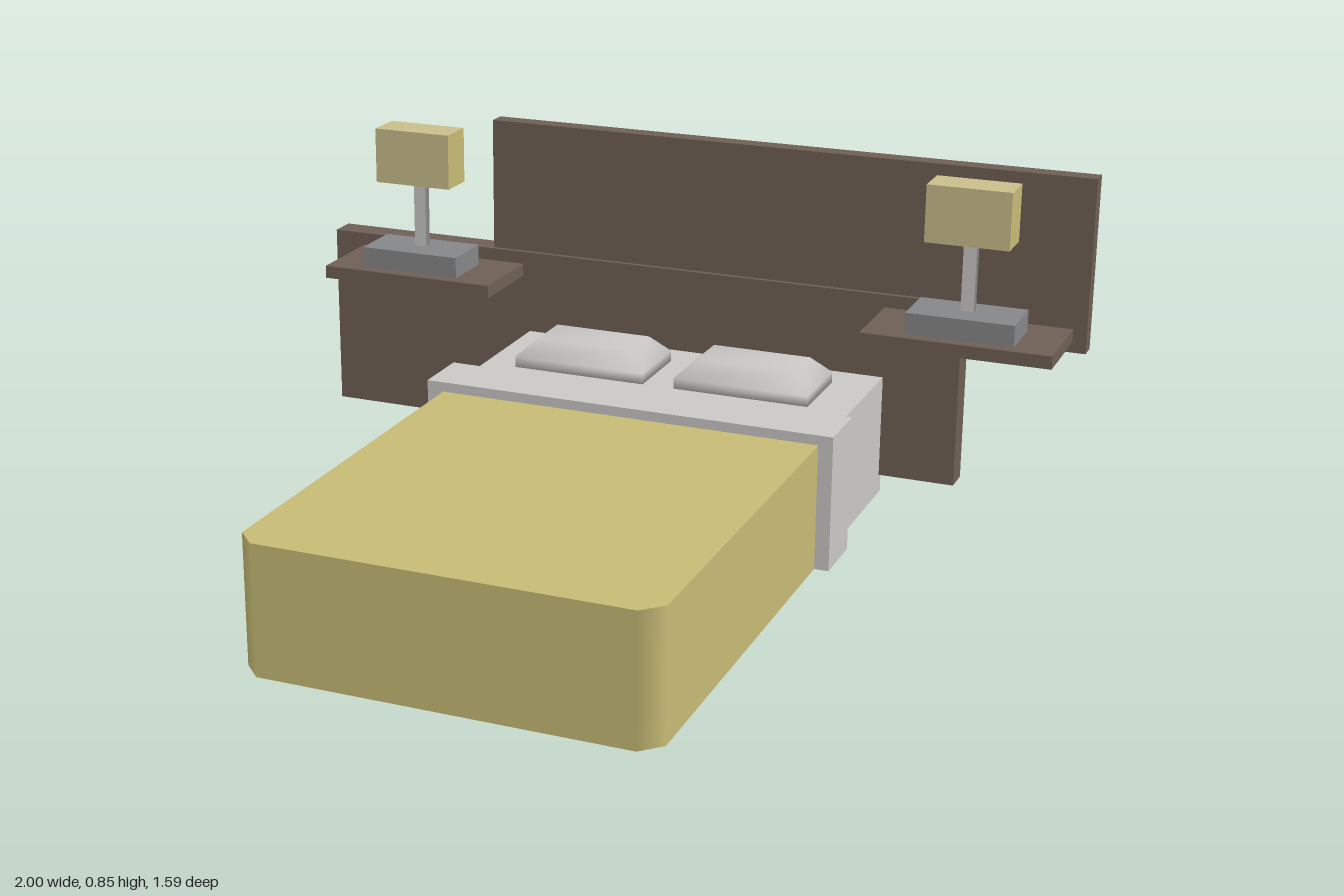
import * as THREE from 'three';
import { mergeVertices } from 'three/addons/utils/BufferGeometryUtils.js';

const paint = (name, color) => {
  const m = new THREE.MeshStandardMaterial({ color, side: THREE.DoubleSide });
  m.name = name;
  return m;
};

// Box shell between two corners; faces: 0 left, 1 right, 2 top, 3 bottom, 4 front, 5 back
function shell(name, [x0, x1], [y0, y1], [z0, z1], mats, faces = [0, 1, 2, 4]) {
  const geo = new THREE.BoxGeometry(x1 - x0, y1 - y0, z1 - z0);
  geo.translate((x0 + x1) / 2, (y0 + y1) / 2, (z0 + z1) / 2);
  const full = Array.from(geo.index.array);
  geo.setIndex(faces.flatMap((f) => full.slice(f * 6, f * 6 + 6)));
  geo.clearGroups();
  // with two materials: the first is for the sides, the second for top and front
  if (Array.isArray(mats)) faces.forEach((f, i) => geo.addGroup(i * 6, 6, f < 2 ? 0 : 1));
  const mesh = new THREE.Mesh(geo, mats);
  mesh.name = name;
  return mesh;
}

// Blanket: flat top and a skirt with softened foot corners, open below and at the head
function makeBlanket(mat) {
  const group = new THREE.Group();
  group.name = 'blanket';
  const [l, r, back, front, cut, h] = [-0.44, 0.51, -0.28, 0.795, 0.045, 0.305];
  const outline = [
    [l, back, -1, 0], [l, front - cut, -1, 0], [l + cut, front, 0, 1],
    [r - cut, front, 0, 1], [r, front - cut, 1, 0], [r, back, 1, 0],
  ];
  const pos = [], nor = [], idx = [];
  outline.forEach(([x, z, nx, nz], i) => {
    pos.push(x, 0, z, x, h, z);
    nor.push(nx, 0, nz, nx, 0, nz);
    const a = i * 2;
    if (i < outline.length - 1) idx.push(a, a + 2, a + 3, a, a + 3, a + 1);
  });
  const side = new THREE.BufferGeometry();
  side.setAttribute('position', new THREE.Float32BufferAttribute(pos, 3));
  side.setAttribute('normal', new THREE.Float32BufferAttribute(nor, 3));
  side.setIndex(idx);
  const skirt = new THREE.Mesh(side, mat);
  skirt.name = 'blanketSkirt';
  const shape = new THREE.Shape(outline.map(([x, z]) => new THREE.Vector2(x, -z)));
  const top = new THREE.Mesh(new THREE.ShapeGeometry(shape).rotateX(-Math.PI / 2).translate(0, h, 0), mat);
  top.name = 'blanketTop';
  group.add(skirt, top);
  return group;
}

// Folded sheet: an upside-down U wrapped over the mattress
function makeFold(mat) {
  const u = new THREE.Shape([
    [-0.48, 0], [-0.44, 0], [-0.44, 0.306], [0.51, 0.306],
    [0.51, 0], [0.545, 0], [0.545, 0.33], [-0.48, 0.33],
  ].map(([x, y]) => new THREE.Vector2(x, y)));
  const geo = new THREE.ExtrudeGeometry(u, { depth: 0.145, bevelEnabled: false });
  const mesh = new THREE.Mesh(geo.translate(0, 0, -0.353), mat);
  mesh.name = 'foldedSheet';
  return mesh;
}

// Pillow: a box drawn in towards the top, smoothly shaded
function makePillow(x, mat) {
  let geo = new THREE.BoxGeometry(0.34, 0.07, 0.195, 1, 2, 1);
  const p = geo.attributes.position;
  for (let i = 0; i < p.count; i++) {
    const y = p.getY(i);
    if (y > 0.01) p.setXYZ(i, p.getX(i) * 0.73, y, p.getZ(i) * 0.62);
    else if (y > -0.01) p.setY(i, -0.008);
  }
  geo.deleteAttribute('normal');
  geo.deleteAttribute('uv');
  geo = mergeVertices(geo);
  geo.computeVertexNormals();
  const mesh = new THREE.Mesh(geo, mat);
  mesh.name = 'pillow';
  mesh.position.set(x, 0.34, -0.546);
  return mesh;
}

// Wall shelf with a table lamp on it
function makeNightstand(x, shelfX, m) {
  const group = new THREE.Group();
  group.name = x > 0 ? 'leftNightstand' : 'rightNightstand';
  const around = (w) => [x - w / 2, x + w / 2];
  group.add(
    shell('shelf', shelfX, [0.453, 0.485], [-0.735, -0.513], m.wood),
    shell('lampBase', around(0.262), [0.485, 0.538], [-0.678, -0.542], m.metal),
    shell('lampPost', around(0.032), [0.538, 0.706], [-0.63, -0.609], [m.metal, m.linen]),
    shell('lampShade', around(0.203), [0.706, 0.845], [-0.662, -0.57], [m.blanket, m.shade]),
  );
  return group;
}

export function createModel() {
  const m = {
    wood: paint('dark wood', 0x6e6055),
    linen: paint('white linen', 0xcac9c6),
    blanket: paint('yellow blanket', 0xc8bb75),
    shade: paint('pale shade', 0xcabe8b),
    metal: paint('grey metal', 0x868788),
  };
  const model = new THREE.Group();
  model.name = 'bed';
  model.add(
    // Two staggered headboard panels
    shell('lowerHeadboard', [-1, 0.7], [0.048, 0.517], [-0.795, -0.728], m.wood),
    shell('upperHeadboard', [-0.545, 1], [0.425, 0.853], [-0.785, -0.74], m.wood),
    // Bedding
    shell('mattress', [-0.44, 0.51], [0, 0.305], [-0.745, -0.28], m.linen, [0, 1, 2]),
    makeBlanket(m.blanket),
    makeFold(m.linen),
    makePillow(-0.185, m.linen),
    makePillow(0.236, m.linen),
    // Nightstands
    makeNightstand(-0.692, [-0.918, -0.458], m),
    makeNightstand(0.74, [0.507, 0.968], m),
  );
  return model;
}
